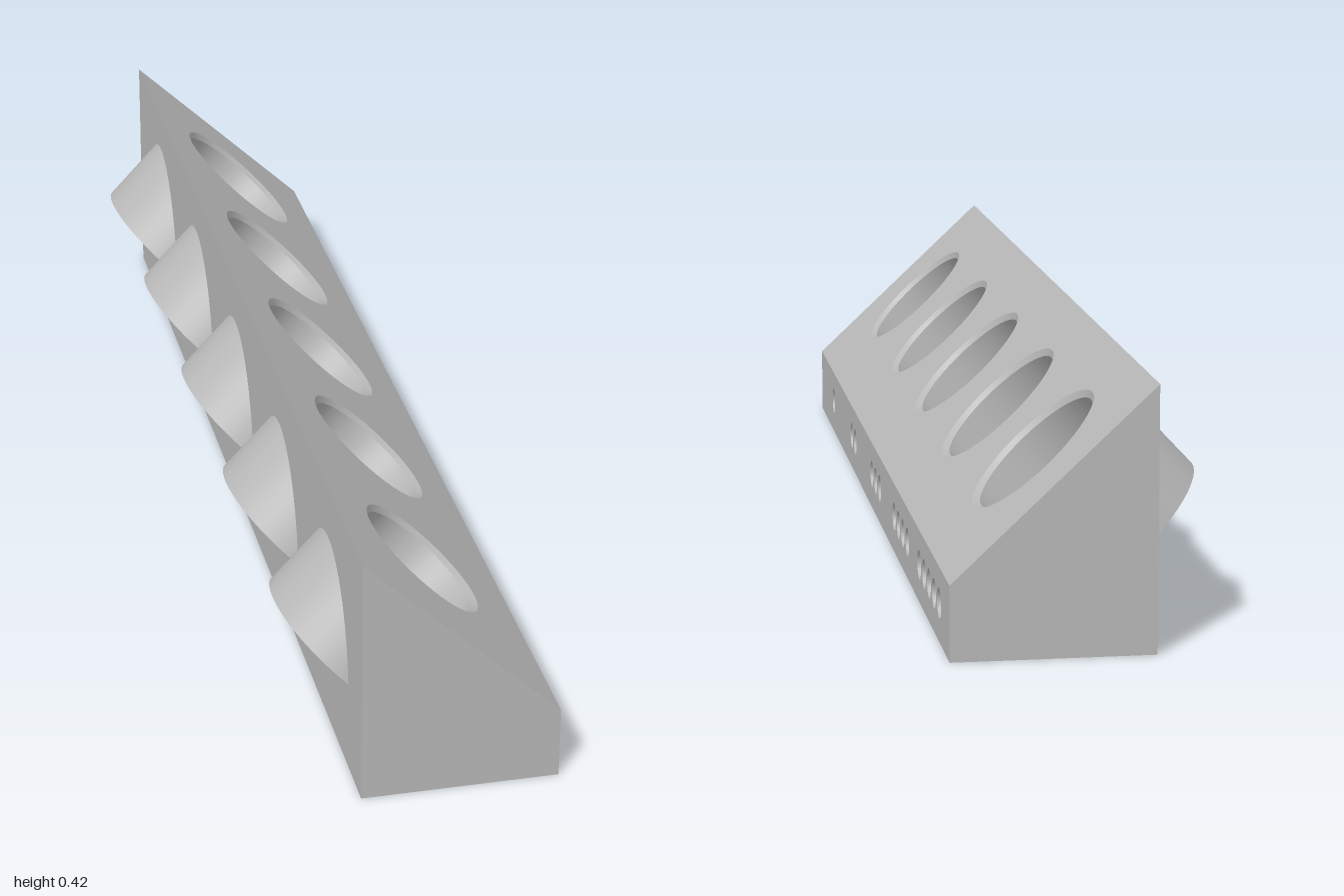
import * as THREE from 'three';

const BACK = -0.11, FRONT = 0.21, LOW = 0.12, HIGH = 0.42, HALF = 1;
const run = FRONT - BACK, rise = HIGH - LOW;
const tilt = Math.atan2(rise, run), slopeLength = Math.hypot(run, rise);
const cosT = Math.cos(tilt), sinT = Math.sin(tilt);
const T = 0.484;                                   // socket centre along the slope
const cx = BACK + run * T, cy = HIGH - rise * T;
const OUTER_DEPTH = 0.196, INNER_DEPTH = 0.16, CHAMFER = 0.008;
const DOT_R = 0.024, DOT_Y = 0.062, DOT_GAP = 0.062, DOT_DEPTH = 0.02;
const SEG = 48;

const sockets = [0.755, 0.378, 0, -0.378, -0.755].map((z, i) => ({
  z, count: i + 1,
  inner: 0.112 + 0.002 * i,
  rim: 0.121 + 0.0022 * i,
  outer: 0.153 + 0.003 * i,
}));

function polygon(points) {
  return new THREE.Shape(points.map(([x, y]) => new THREE.Vector2(x, y)));
}

function rectangle(x0, y0, x1, y1) {
  return polygon([[x0, y0], [x1, y0], [x1, y1], [x0, y1]]);
}

function addHole(shape, x, y, r) {
  const hole = new THREE.Path();
  hole.absarc(x, y, r, 0, Math.PI * 2, true);
  shape.holes.push(hole);
}

// Local height on a socket's axis at which a line at offset s meets the back plane
const backHeight = (s) => (BACK - cx - s * cosT) / sinT;
// Offset at which the back plane meets the flat end of the housings
const chordOffset = (BACK - cx + OUTER_DEPTH * sinT) / cosT;

export function createModel() {
  const model = new THREE.Group();
  model.name = 'socketRack';
  const grey = new THREE.MeshStandardMaterial({ color: 0xb8b8b8, side: THREE.DoubleSide });
  grey.name = 'grey';

  const add = (parent, name, geometry, x = 0, y = 0, z = 0) => {
    const mesh = new THREE.Mesh(geometry, grey);
    mesh.name = name;
    mesh.position.set(x, y, z);
    parent.add(mesh);
    return mesh;
  };

  // Wedge ends and base
  const profile = polygon([[BACK, 0], [FRONT, 0], [FRONT, LOW], [BACK, HIGH]]);
  add(model, 'endPanel', new THREE.ShapeGeometry(profile), 0, 0, HALF);
  const rearProfile = polygon([[-FRONT, 0], [-BACK, 0], [-BACK, HIGH], [-FRONT, LOW]]);
  add(model, 'oppositeEndPanel', new THREE.ShapeGeometry(rearProfile).rotateY(Math.PI), 0, 0, -HALF);
  add(model, 'base', new THREE.PlaneGeometry(run, HALF * 2).rotateX(Math.PI / 2), (BACK + FRONT) / 2);

  // Tilted frame: local y points out of the slope
  const tilted = new THREE.Group();
  tilted.name = 'slopedTop';
  tilted.position.set(cx, cy, 0);
  tilted.rotation.z = -tilt;
  model.add(tilted);

  const slope = rectangle(-T * slopeLength, -HALF, (1 - T) * slopeLength, HALF);
  const strip = rectangle(-HALF, 0, HALF, LOW);
  const back = rectangle(-HALF, 0, HALF, HIGH);

  for (const { z, count, inner, rim, outer } of sockets) {
    const socket = new THREE.Group();
    socket.name = 'socket';
    socket.position.z = z;
    tilted.add(socket);

    // Recess with chamfered rim
    addHole(slope, 0, -z, rim);
    add(socket, 'chamfer', new THREE.CylinderGeometry(rim, inner, CHAMFER, SEG, 1, true), 0, -CHAMFER / 2);
    add(socket, 'recessWall',
      new THREE.CylinderGeometry(inner, inner, INNER_DEPTH - CHAMFER, SEG, 1, true), 0, -(INNER_DEPTH + CHAMFER) / 2);
    add(socket, 'recessFloor', new THREE.CircleGeometry(inner, SEG).rotateX(-Math.PI / 2), 0, -INNER_DEPTH);

    // Round housing, trimmed where it leaves the back
    const half = Math.acos(-chordOffset / outer);
    const shell = new THREE.CylinderGeometry(outer, outer, 1, SEG, 1, true, Math.PI * 1.5 - half, half * 2);
    const p = shell.attributes.position;
    for (let i = 0; i < p.count; i++) {
      p.setY(i, p.getY(i) > 0 ? backHeight(p.getX(i)) : -OUTER_DEPTH);
    }
    add(socket, 'housing', shell);
    const segment = new THREE.Shape();
    segment.absarc(0, 0, outer, Math.PI - half, Math.PI + half, false);
    add(socket, 'housingEnd', new THREE.ShapeGeometry(segment, SEG / 2).rotateX(Math.PI / 2), 0, -OUTER_DEPTH);

    // Matching opening in the back panel
    const opening = [];
    for (let i = 0; i <= SEG; i++) {
      const a = Math.PI - half + (2 * half * i) / SEG;
      const s = outer * Math.cos(a);
      opening.push(new THREE.Vector2(z + outer * Math.sin(a), cy - s * sinT + backHeight(s) * cosT));
    }
    back.holes.push(new THREE.Path(opening));

    // Counting dots
    for (let k = 0; k < count; k++) {
      const dz = z + (k - (count - 1) / 2) * DOT_GAP;
      addHole(strip, -dz, DOT_Y, DOT_R);
      add(model, 'dotWall',
        new THREE.CylinderGeometry(DOT_R, DOT_R, DOT_DEPTH, 24, 1, true).rotateZ(Math.PI / 2),
        FRONT - DOT_DEPTH / 2, DOT_Y, dz);
      add(model, 'dotFloor', new THREE.CircleGeometry(DOT_R, 24).rotateY(Math.PI / 2), FRONT - DOT_DEPTH, DOT_Y, dz);
    }
  }

  // Pierced panels
  add(tilted, 'slopePanel', new THREE.ShapeGeometry(slope, SEG / 2).rotateX(-Math.PI / 2));
  add(model, 'dotStrip', new THREE.ShapeGeometry(strip, 12).rotateY(Math.PI / 2), FRONT);
  add(model, 'backPanel', new THREE.ShapeGeometry(back).rotateY(-Math.PI / 2), BACK);

  return model;
}
